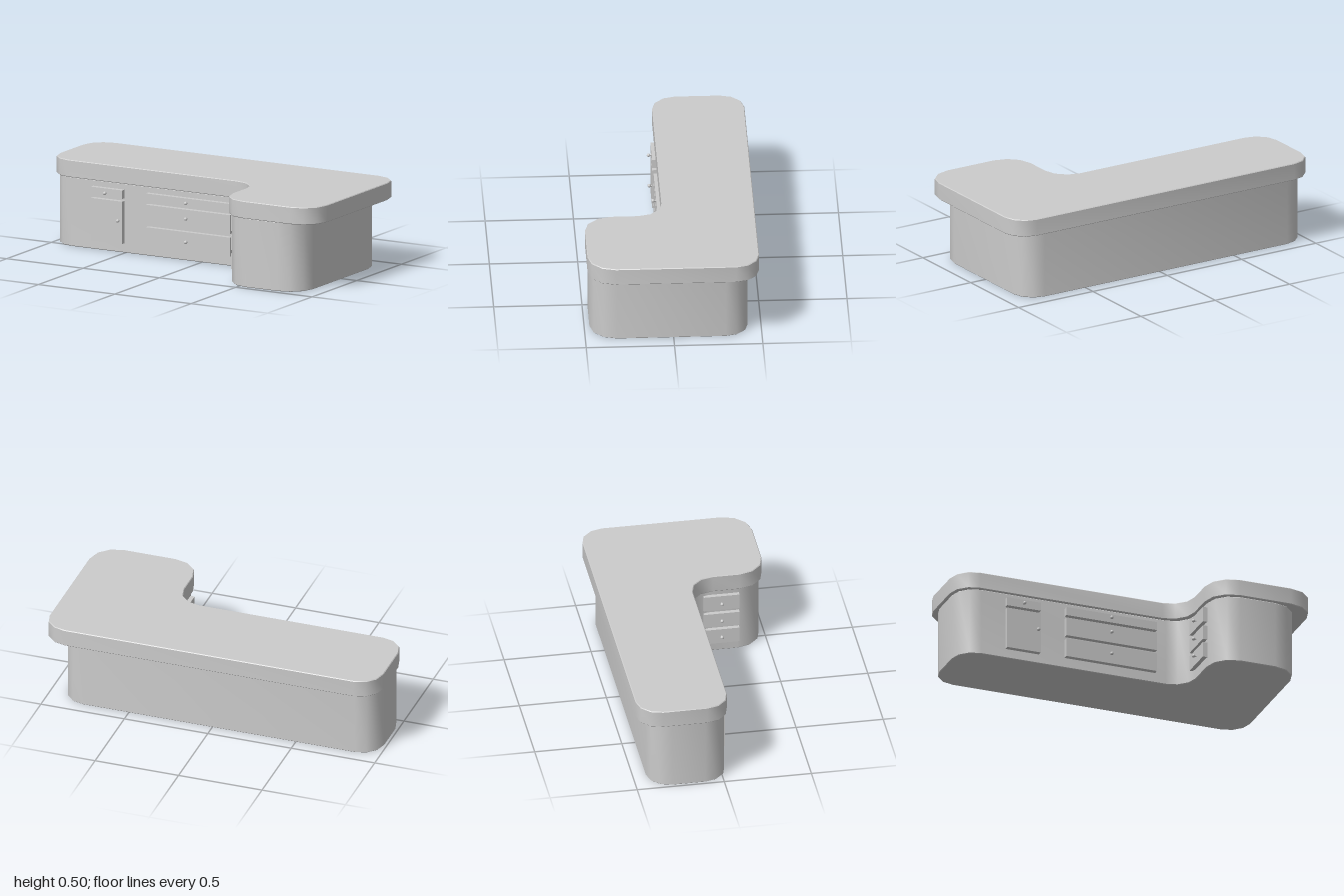
import * as THREE from 'three';
import { toCreasedNormals } from 'three/addons/utils/BufferGeometryUtils.js';

const grey = new THREE.MeshStandardMaterial({ color: 0xcccccc });

// L-shaped slab: corners are [x, z, radius], each rounded with three facets
function slab(name, corners, y0, y1) {
  const bevel = 0.004, n = corners.length, points = [];
  const at = (i) => new THREE.Vector2(corners[(i + n) % n][0], -corners[(i + n) % n][1]);
  for (let i = 0; i < n; i++) {
    const p = at(i), r = corners[i][2];
    const dIn = p.clone().sub(at(i - 1)).normalize();
    const dOut = at(i + 1).sub(p).normalize();
    const centre = p.clone().addScaledVector(dIn, -r).addScaledVector(dOut, r);
    for (let k = 0; k <= 3; k++) {
      const t = (k / 3) * Math.PI / 2;
      points.push(centre.clone()
        .addScaledVector(dOut, -r * Math.cos(t))
        .addScaledVector(dIn, r * Math.sin(t)));
    }
  }
  const geometry = new THREE.ExtrudeGeometry(new THREE.Shape(points), {
    depth: y1 - y0 - 2 * bevel, bevelThickness: bevel, bevelSize: bevel,
    bevelOffset: -bevel, bevelSegments: 1,
  });
  geometry.rotateX(-Math.PI / 2).translate(0, y0 + bevel, 0);
  const mesh = new THREE.Mesh(toCreasedNormals(geometry, 0.6), grey);
  mesh.name = name;
  return mesh;
}

// Front panel with a round knob, facing +z, its back slightly inside the wall
function panel(name, x0, x1, y0, y1, knobX, knobY) {
  const group = new THREE.Group();
  group.name = name;
  const board = new THREE.Mesh(new THREE.BoxGeometry(x1 - x0, y1 - y0, 0.04), grey);
  board.name = 'panel';
  board.position.set((x0 + x1) / 2, (y0 + y1) / 2, 0.008);
  const stem = new THREE.Mesh(new THREE.CylinderGeometry(0.004, 0.004, 0.02, 8), grey);
  stem.name = 'knobStem';
  stem.rotation.x = Math.PI / 2;
  stem.position.set(knobX, knobY, 0.034);
  const knob = new THREE.Mesh(new THREE.SphereGeometry(0.01, 12, 8), grey);
  knob.name = 'knob';
  knob.position.set(knobX, knobY, 0.044);
  group.add(board, stem, knob);
  return group;
}

export function createModel() {
  const model = new THREE.Group();
  model.name = 'cornerDesk';

  // Worktop and cabinet body
  model.add(slab('worktop', [
    [-1, -0.485, 0.135], [-1, 0.038, 0.135], [0.38, 0.038, 0.14],
    [0.38, 0.485, 0.155], [1, 0.485, 0.155], [1, -0.485, 0.135],
  ], 0.4, 0.5));
  model.add(slab('cabinetBody', [
    [-0.985, -0.425, 0.13], [-0.985, 0.025, 0.13], [0.395, 0.025, 0.13],
    [0.395, 0.47, 0.15], [0.905, 0.47, 0.15], [0.905, -0.425, 0.13],
  ], 0, 0.4));

  // Door and drawers on the long side
  const front = new THREE.Group();
  front.name = 'longSideFronts';
  front.position.z = 0.026;
  front.add(
    panel('smallDrawer', -0.71, -0.505, 0.315, 0.365, -0.61, 0.34),
    panel('door', -0.71, -0.505, 0.055, 0.3, -0.525, 0.19),
    panel('wideDrawerTop', -0.35, 0.2, 0.315, 0.365, -0.08, 0.34),
    panel('wideDrawerMiddle', -0.35, 0.2, 0.19, 0.3, -0.08, 0.25),
    panel('wideDrawerBottom', -0.35, 0.2, 0.06, 0.17, -0.08, 0.115),
  );
  model.add(front);

  // Drawers on the inner side of the short wing, facing -x
  const side = new THREE.Group();
  side.name = 'wingDrawers';
  side.position.x = 0.398;
  side.rotation.y = -Math.PI / 2;
  [[0.28, 0.37], [0.17, 0.255], [0.06, 0.15]].forEach(([y0, y1], i) => {
    side.add(panel(`wingDrawer${i + 1}`, 0.125, 0.33, y0, y1, 0.227, (y0 + y1) / 2));
  });
  model.add(side);

  return model;
}
